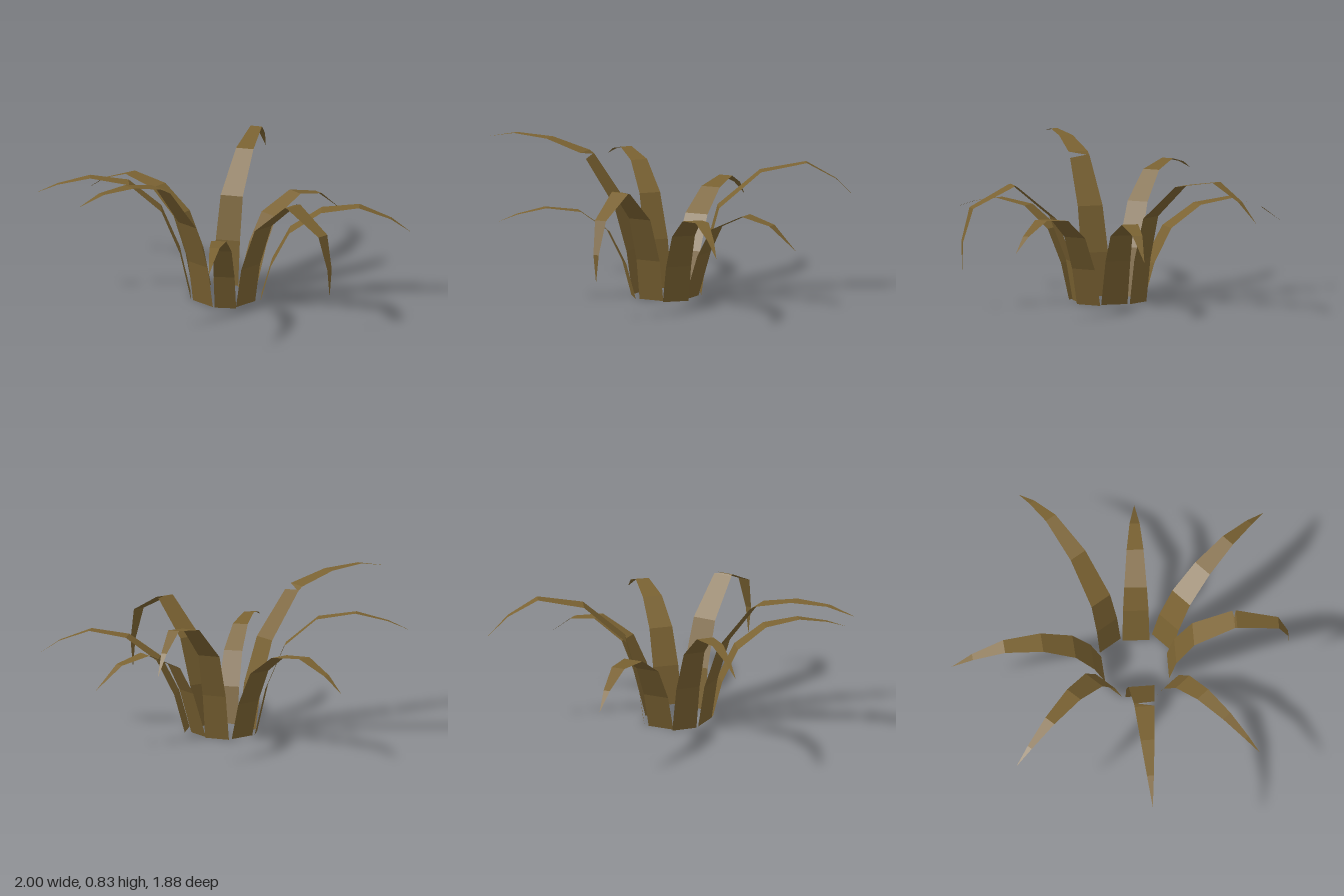
import * as THREE from 'three';

const material = new THREE.MeshStandardMaterial({
  color: 0x7a6232, flatShading: true, side: THREE.DoubleSide,
});

// Usual arch of a leaf as [fraction outward, height]: steep rise, then droop to the tip.
function arch(peak, tipHeight) {
  return [
    [0, 0], [0.07, 0.38 * peak], [0.19, 0.73 * peak], [0.4, 0.95 * peak], [0.65, peak],
    [0.86, peak - 0.45 * (peak - tipHeight)], [1, tipHeight],
  ];
}

// One leaf blade: a ribbon from base (x, z) to tip (x, z), tapering along its length.
// A row may carry a third value, the depth of a tear in one edge.
function makeLeaf(name, width, [bx, bz], [tx, tz], rows, bend = 0) {
  const dx = tx - bx, dz = tz - bz;
  const reach = Math.hypot(dx, dz);
  const side = new THREE.Vector3(dz / reach, 0, -dx / reach);

  // centre line and the length travelled along it
  const centres = rows.map(([t, y]) => new THREE.Vector3(bx + dx * t, y, bz + dz * t)
    .addScaledVector(side, bend * Math.sin(Math.PI * t)));
  const travelled = [0];
  for (let i = 1; i < rows.length; i++) {
    travelled.push(travelled[i - 1] + centres[i].distanceTo(centres[i - 1]));
  }
  const total = travelled[rows.length - 1];

  // two edge points per row, joined by triangles
  const points = [], index = [];
  rows.forEach(([, , tear = 0], i) => {
    const w = width * (1 - (travelled[i] / total) ** 2.15);
    points.push(
      centres[i].clone().addScaledVector(side, -w / 2),
      centres[i].clone().addScaledVector(side, w / 2 - w * tear),
    );
    if (i === 0) return;
    const a = 2 * i - 2;
    index.push(a, a + 1, a + 2);
    if (i < rows.length - 1) index.push(a + 1, a + 3, a + 2);
  });

  const geometry = new THREE.BufferGeometry().setFromPoints(points);
  geometry.setIndex(index);
  geometry.computeVertexNormals();
  const mesh = new THREE.Mesh(geometry, material);
  mesh.name = name;
  return mesh;
}

export function createModel() {
  const plant = new THREE.Group();
  plant.name = 'plant';

  // evenly arched leaves
  plant.add(
    makeLeaf('frontLeftLeaf', 0.148, [0.255, 0.247], [0.83, 0.86], arch(0.547, 0.395)),
    makeLeaf('frontRightLeaf', 0.12, [-0.012, 0.24], [-0.605, 0.725], arch(0.527, 0.457)),
    makeLeaf('backRightLeaf', 0.142, [0, -0.05], [-0.63, -0.635], arch(0.7, 0.607)),
    makeLeaf('backLeaf', 0.15, [0.125, -0.09], [0.065, -0.94], arch(0.547, 0.39), -0.02),
  );

  // leaves with their own bend
  plant.add(
    makeLeaf('backLeftLeaf', 0.142, [0.26, -0.04], [1, -0.49], [
      [0, 0], [0.04, 0.25], [0.115, 0.49], [0.385, 0.69], [0.68, 0.735], [0.87, 0.64],
      [1, 0.525]], -0.022),
    makeLeaf('leftLeaf', 0.15, [0.28, 0.105], [0.957, 0.15], [
      [0, 0], [0.12, 0.255], [0.24, 0.41], [0.52, 0.5], [0.77, 0.46], [1, 0.33]]),
  );

  // torn leaves: one folded sharply down, one tall and nearly torn across
  plant.add(
    makeLeaf('frontLeaf', 0.148, [0.115, 0.27], [0.118, 0.94], [
      [0, 0], [0.06, 0.23], [0.21, 0.48], [0.54, 0.665], [0.552, 0.672, 0.38],
      [0.57, 0.67], [0.92, 0.555], [1, 0.37], [1, 0.21]]),
    makeLeaf('rightLeaf', 0.16, [-0.05, 0.1], [-1, 0.095], [
      [0, 0], [0.04, 0.24], [0.126, 0.49], [0.32, 0.735], [0.33, 0.747, 0.85],
      [0.358, 0.765], [0.59, 0.823], [0.816, 0.832], [1, 0.795]]),
  );
  return plant;
}
